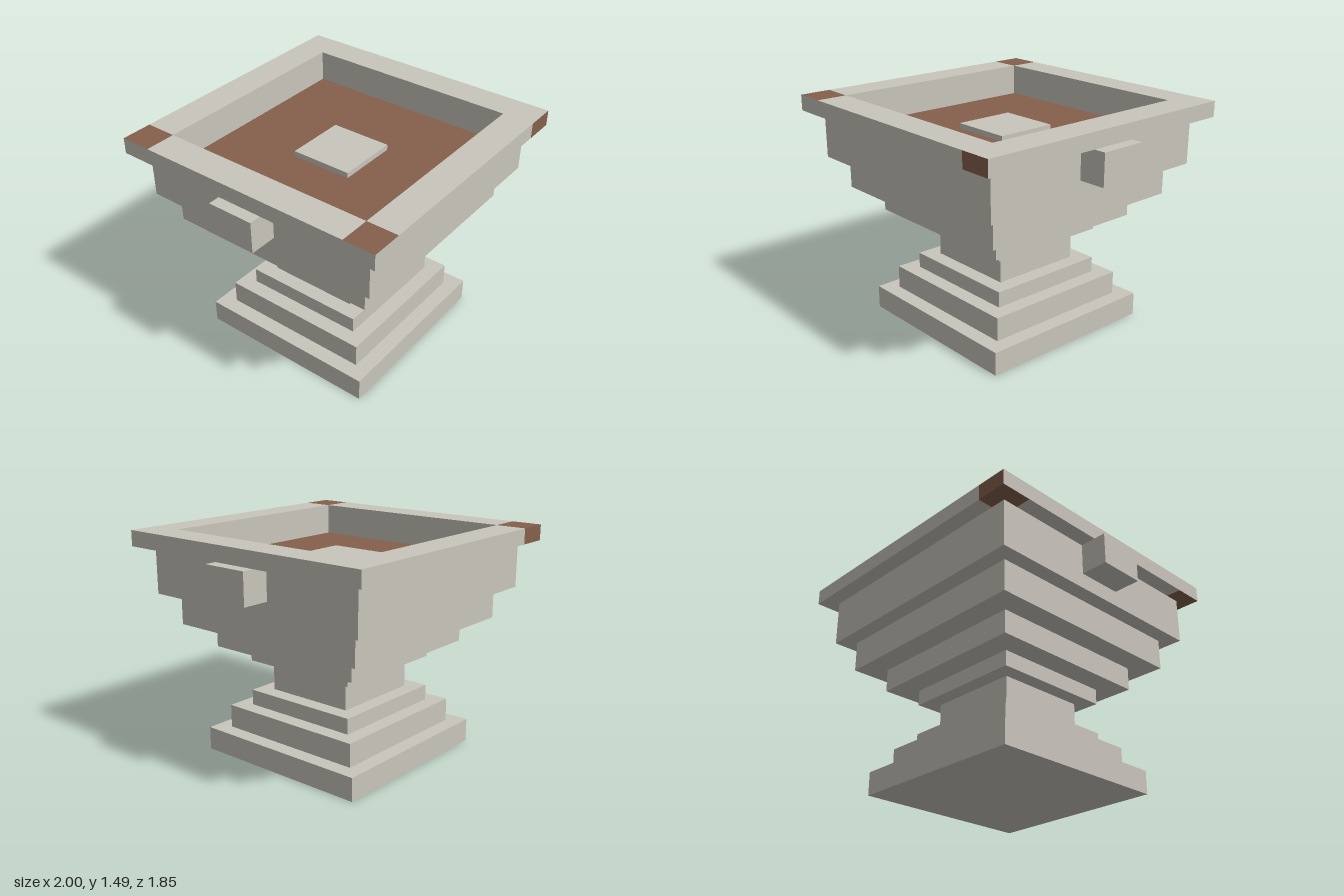
import * as THREE from 'three';

const U = 2 / 39; // one block unit

export function createModel() {
  const model = new THREE.Group();
  model.name = 'steppedBasin';
  const stone = new THREE.MeshStandardMaterial({ color: 0xc9c5bc });
  stone.name = 'stone';
  const brown = new THREE.MeshStandardMaterial({ color: 0x85604b });
  brown.name = 'brown';

  // Box given by its minimum and maximum corners in block units
  function box(name, min, max, material = stone) {
    const size = max.map((v, i) => (v - min[i]) * U);
    const mesh = new THREE.Mesh(new THREE.BoxGeometry(...size), material);
    mesh.position.set(...max.map((v, i) => ((v + min[i]) / 2) * U));
    mesh.name = name;
    model.add(mesh);
    return mesh;
  }

  // Stacked square steps: half width, bottom, top
  const steps = [
    ['plinth', 12, 0, 3],
    ['plinthStep', 10, 3, 6],
    ['stemFoot', 8, 6, 8],
    ['stem', 6, 8, 12],
    ['stemCollar', 8, 12, 14],
    ['lowerBowlStep', 11, 14, 17],
    ['upperBowlStep', 14, 17, 21],
  ];
  for (const [name, w, y0, y1] of steps) box(name, [-w, y0, -w], [w, y1, w]);

  // Hollow bowl wall
  const square = (Type, w) => new Type([[-w, -w], [w, -w], [w, w], [-w, w]]
    .map(([x, y]) => new THREE.Vector2(x * U, y * U)));
  const outline = square(THREE.Shape, 16);
  outline.holes.push(square(THREE.Path, 14));
  const wallGeometry = new THREE.ExtrudeGeometry(outline, { depth: 6 * U, bevelEnabled: false });
  wallGeometry.rotateX(-Math.PI / 2).translate(0, 21 * U, 0);
  const wall = new THREE.Mesh(wallGeometry, stone);
  wall.name = 'bowlWall';
  model.add(wall);

  // Basin floor and the small slab in its middle
  box('basinFloor', [-14, 21, -14], [14, 25, 14], brown);
  box('centreSlab', [-4, 25, -4], [4, 25.7, 4]);

  // Rim bars and side handles
  for (const s of [-1, 1]) {
    const span = (a, b) => [Math.min(s * a, s * b), Math.max(s * a, s * b)];
    const [r0, r1] = span(14, 18);
    box(s > 0 ? 'rimLeft' : 'rimRight', [r0, 27, -14], [r1, 29, 14]);
    box(s > 0 ? 'rimFront' : 'rimBack', [-14, 27, r0], [14, 29, r1]);
    const [h0, h1] = span(16, 19.5);
    box(s > 0 ? 'handleLeft' : 'handleRight', [h0, 23, -3], [h1, 27, 3]);
  }

  // Rim corners with brown faces, in the order +x, -x, +y, -y, +z, -z
  const corner = (name, x, z, brownFaces) => box(
    name,
    [x > 0 ? 14 : -18, 27, z > 0 ? 14 : -18],
    [x > 0 ? 18 : -14, 29, z > 0 ? 18 : -14],
    [0, 1, 2, 3, 4, 5].map((i) => (brownFaces.includes(i) ? brown : stone)),
  );
  corner('rimCornerFrontLeft', 1, 1, [4]);
  corner('rimCornerFrontRight', -1, 1, [2, 3]);
  corner('rimCornerBackLeft', 1, -1, []);
  corner('rimCornerBackRight', -1, -1, [2, 3, 5]);

  return model;
}
